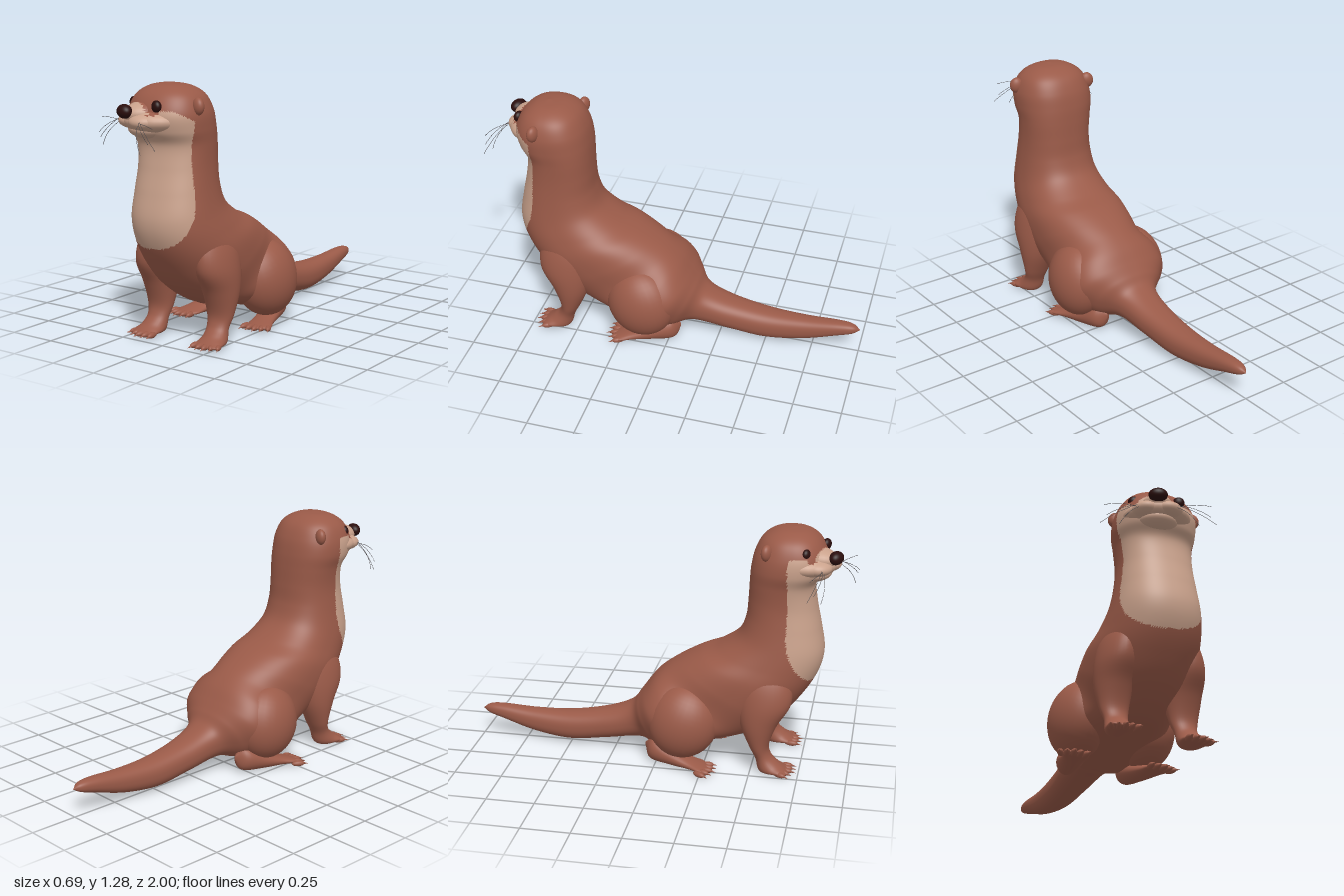
import * as THREE from 'three';

const material = (name, color) =>
  Object.assign(new THREE.MeshStandardMaterial({ color }), { name });

const fur = material('brown fur', 0x9a5a48);
const cream = material('cream fur', 0xc9a18b);
const dark = material('dark nose and eyes', 0x2a0e0d);
const whiskerGrey = material('whisker grey', 0x4a4648);

const HEAD = new THREE.Vector3(0.01, 0, 0.64);
const UP = new THREE.Vector3(0, 1, 0);
const YAW = -0.4;

// Smooth closed skin through rings [centreX, backY, backZ, frontY, frontZ, halfWidth]
function loft(rows, steps, sides, power = 1) {
  const curve = (f) => new THREE.CatmullRomCurve3(rows.map(f), false, 'catmullrom', 0.5);
  const back = curve((r) => new THREE.Vector3(r[0], r[1], r[2]));
  const front = curve((r) => new THREE.Vector3(r[0], r[3], r[4]));
  const width = curve((r) => new THREE.Vector3(r[5], 0, 0));
  const rings = (rows.length - 1) * steps;
  const round = (v) => Math.sign(v) * Math.abs(v) ** power;
  const pos = [];
  const index = [];
  for (let i = 0; i <= rings; i++) {
    const t = i / rings;
    const b = back.getPoint(t);
    const f = front.getPoint(t);
    const w = Math.max(0, width.getPoint(t).x);
    for (let j = 0; j < sides; j++) {
      const a = (j / sides) * Math.PI * 2;
      const p = b.clone().lerp(f, 0.5 + 0.5 * round(Math.cos(a)));
      pos.push(p.x + w * round(Math.sin(a)), p.y, p.z);
      if (i === rings) continue;
      const k = i * sides + j;
      const n = i * sides + ((j + 1) % sides);
      index.push(k, k + sides, n, n, k + sides, n + sides);
    }
  }
  const geo = new THREE.BufferGeometry();
  geo.setAttribute('position', new THREE.Float32BufferAttribute(pos, 3));
  geo.setIndex(index);
  geo.computeVertexNormals();
  return geo;
}

// Sort faces into two groups: fur, and cream where the rule holds
function paint(geo, rule) {
  const lists = [[], []];
  const p = geo.attributes.position;
  const src = geo.index.array;
  for (let i = 0; i < src.length; i += 3) {
    const tri = [src[i], src[i + 1], src[i + 2]];
    const mid = new THREE.Vector3();
    tri.forEach((k) => mid.add(new THREE.Vector3().fromBufferAttribute(p, k)));
    lists[rule(mid.divideScalar(3)) ? 1 : 0].push(...tri);
  }
  geo.setIndex(lists[0].concat(lists[1]));
  geo.addGroup(0, lists[0].length, 0);
  geo.addGroup(lists[0].length, lists[1].length, 1);
  return geo;
}

function add(parent, name, geo, mat) {
  const mesh = new THREE.Mesh(geo, mat);
  mesh.name = name;
  parent.add(mesh);
  return mesh;
}

function blob(parent, name, [x, y, z], [rx, ry, rz], mat, rule) {
  const geo = new THREE.SphereGeometry(1, 32, 22).scale(rx, ry, rz).translate(x, y, z);
  return add(parent, name, rule ? paint(geo, rule) : geo, rule ? [fur, cream] : mat);
}

// Upper edge of the cream mask: high beside the nose, notched under each eye
function isMask(p) {
  const u = Math.abs(p.x);
  if (u < 0.09) return p.y < (p.z > 0.2 ? 1.198 : 1.15);
  if (u < 0.128) return p.y < 1.14;
  return p.y < 1.162 - 0.5 * Math.max(0, 0.11 - p.z);
}

// Bib on chest and throat, running up into the mask
function isCream(p) {
  const edge = 0.695 + 0.18 * p.x + 1.6 * Math.max(0, 0.76 - p.y) ** 2;
  return p.y > 0.485 && p.z > edge && isMask(p.clone().sub(HEAD).applyAxisAngle(UP, -YAW));
}

// Spread toes with small pointed claws
function toes(parent, x, z, turn, spread) {
  const paw = new THREE.Group();
  paw.name = 'toes';
  paw.position.set(x, 0, z);
  paw.rotation.y = turn;
  for (let i = -2; i <= 2; i++) {
    const toe = new THREE.Group();
    toe.name = 'toe';
    toe.position.set(i * spread, 0, -Math.abs(i) * 0.008);
    toe.rotation.y = i * 0.16;
    blob(toe, 'toePad', [0, 0.018, 0], [0.016, 0.015, 0.035], fur);
    const claw = new THREE.ConeGeometry(0.009, 0.04, 8).rotateX(Math.PI / 2 + 0.2);
    add(toe, 'claw', claw.translate(0, 0.016, 0.037), fur);
    paw.add(toe);
  }
  parent.add(paw);
}

export function createModel() {
  const model = new THREE.Group();
  model.name = 'otter';

  // Crown, neck, trunk and tail in one skin
  const body = loft([
    [0.0, 1.28, 0.675, 1.28, 0.68, 0],
    [0.0, 1.27, 0.59, 1.265, 0.75, 0.095],
    [0.0, 1.23, 0.52, 1.22, 0.81, 0.165],
    [0.0, 1.16, 0.48, 1.14, 0.845, 0.2],
    [0.0, 1.08, 0.462, 1.06, 0.83, 0.205],
    [0.007, 1.0, 0.455, 0.99, 0.79, 0.193],
    [0.012, 0.9, 0.45, 0.88, 0.8, 0.188],
    [0.012, 0.8, 0.44, 0.76, 0.825, 0.197],
    [0.012, 0.705, 0.4, 0.63, 0.845, 0.214],
    [0.015, 0.63, 0.3, 0.52, 0.82, 0.235],
    [0.015, 0.59, 0.2, 0.4, 0.75, 0.255],
    [0.015, 0.55, 0.12, 0.27, 0.64, 0.255],
    [0.015, 0.5, 0.04, 0.165, 0.48, 0.245],
    [0.012, 0.44, -0.03, 0.12, 0.3, 0.282],
    [0.012, 0.375, -0.08, 0.08, 0.14, 0.275],
    [0.01, 0.32, -0.12, 0.05, 0.02, 0.205],
    [0.01, 0.26, -0.17, 0.075, -0.1, 0.122],
    [0.008, 0.21, -0.3, 0.045, -0.3, 0.095],
    [0.005, 0.175, -0.5, 0.02, -0.5, 0.08],
    [0.005, 0.17, -0.7, 0.045, -0.7, 0.06],
    [0.005, 0.18, -0.88, 0.1, -0.88, 0.042],
    [0.005, 0.175, -0.96, 0.125, -0.96, 0.027],
    [0.005, 0.15, -1.0, 0.148, -1.0, 0],
  ], 10, 136, 0.86);
  add(model, 'body', paint(body, isCream), [fur, cream]);

  // Face, turned towards the model's right
  const face = new THREE.Group();
  face.name = 'face';
  face.position.copy(HEAD);
  face.rotation.y = YAW;
  model.add(face);
  blob(face, 'cheeks', [0, 1.108, 0.1], [0.172, 0.068, 0.165], null, isMask);
  blob(face, 'bridge', [0, 1.14, 0.15], [0.085, 0.06, 0.122], null, isMask);
  blob(face, 'chin', [0, 1.068, 0.14], [0.105, 0.048, 0.1], cream);
  blob(face, 'nose', [0, 1.156, 0.27], [0.047, 0.034, 0.034], dark);
  for (const s of [-1, 1]) {
    blob(face, 'whiskerPad', [s * 0.05, 1.107, 0.18], [0.08, 0.044, 0.09], cream);
    blob(face, 'eye', [s * 0.11, 1.182, 0.16], [0.029, 0.029, 0.022], dark);
    blob(face, 'ear', [s * 0.192, 1.18, -0.015], [0.036, 0.042, 0.026], fur);
    const tips = [[0.28, 1.0, 0.26], [0.25, 1.03, 0.28], [0.19, 0.975, 0.29], [0.26, 1.1, 0.26]];
    tips.forEach(([x, y, z], i) => {
      const path = new THREE.QuadraticBezierCurve3(
        new THREE.Vector3(s * 0.08, 1.125 - i * 0.008, 0.24),
        new THREE.Vector3(s * (x * 0.5 + 0.05), y * 0.5 + 0.568, z + 0.01),
        new THREE.Vector3(s * x, y, z));
      add(face, 'whisker', new THREE.TubeGeometry(path, 10, 0.0011, 5), whiskerGrey);
    });
  }

  for (const s of [-1, 1]) {
    // Front leg, its shoulder sinking into the trunk, and paw
    const x = s > 0 ? 0.2 : -0.17;
    add(model, 'frontLeg', loft([
      [x - s * 0.03, 0.66, 0.52, 0.64, 0.6, 0],
      [x - s * 0.015, 0.53, 0.43, 0.51, 0.69, 0.07],
      [x - s * 0.003, 0.4, 0.42, 0.385, 0.7, 0.094],
      [x, 0.27, 0.44, 0.27, 0.635, 0.092],
      [x, 0.15, 0.49, 0.16, 0.595, 0.074],
      [x, 0.08, 0.525, 0.1, 0.605, 0.06],
      [x + s * 0.005, 0.01, 0.55, 0.065, 0.64, 0.066],
      [x + s * 0.01, 0.005, 0.63, 0.042, 0.67, 0.072],
      [x + s * 0.012, 0.008, 0.685, 0.028, 0.69, 0.062],
      [x + s * 0.012, 0.014, 0.7, 0.02, 0.7, 0],
    ], 6, 32), fur);
    toes(model, x + s * 0.012, 0.685, s * 0.2, 0.03);

    // Haunch and long hind foot
    const haunch = blob(model, 'haunch', [0, 0, 0], [0.15, 0.2, 0.185], fur);
    haunch.position.set(s * 0.18 + 0.012, 0.25, 0.145);
    haunch.rotation.set(0.3, 0, s * 0.12);
    add(model, 'hindFoot', loft([
      [s * 0.15, 0.08, -0.06, 0.1, -0.06, 0],
      [s * 0.165, 0.02, -0.03, 0.14, -0.01, 0.05],
      [s * 0.185, 0.005, 0.08, 0.1, 0.08, 0.06],
      [s * 0.21, 0.005, 0.18, 0.06, 0.18, 0.06],
      [s * 0.232, 0.008, 0.26, 0.036, 0.26, 0.066],
      [s * 0.24, 0.015, 0.295, 0.022, 0.295, 0],
    ], 6, 28), fur);
    toes(model, s * 0.24 - 0.015, 0.28, s * 0.2, 0.031);
  }
  return model;
}
